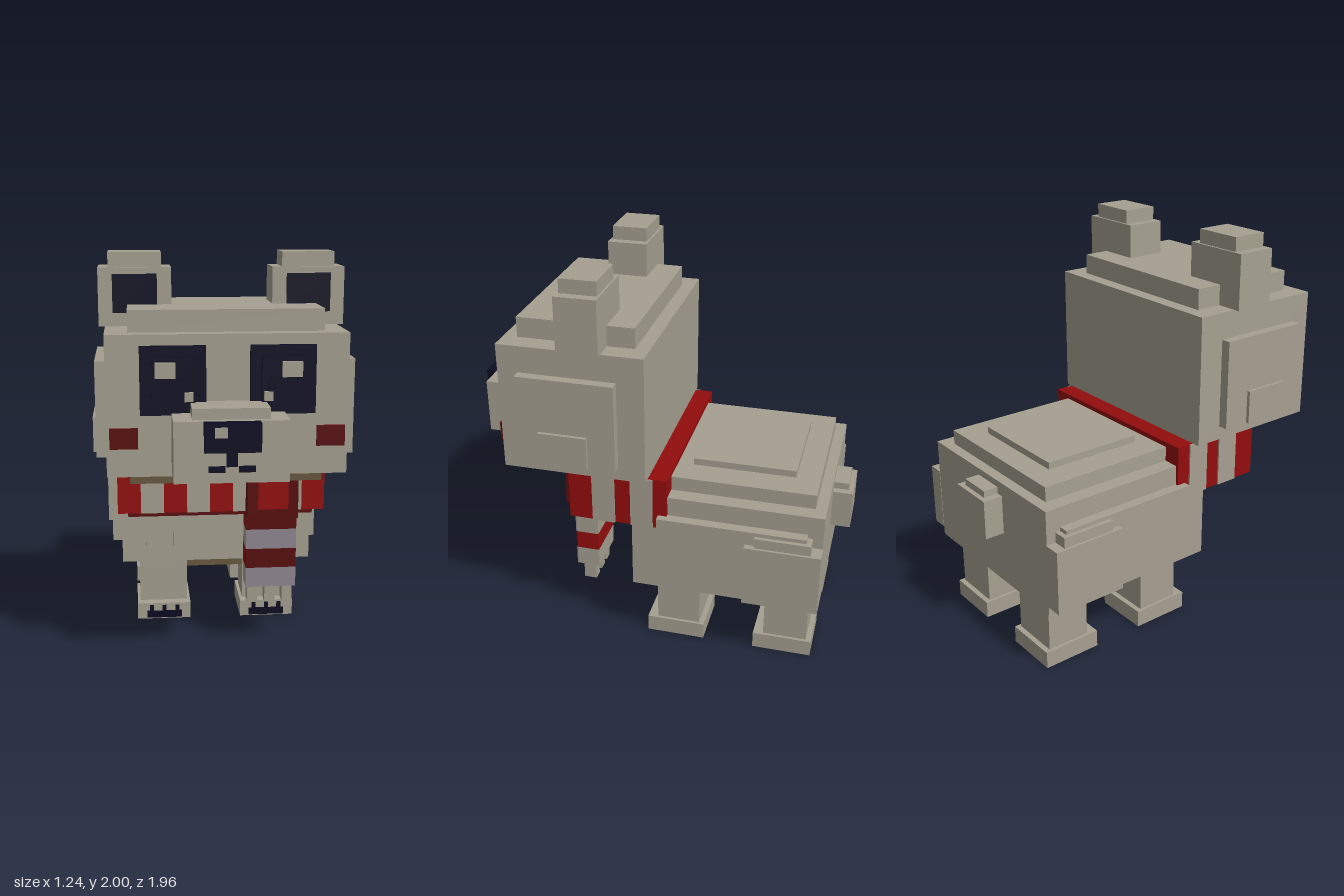
import * as THREE from 'three';

const mat = (name, color) => {
  const m = new THREE.MeshStandardMaterial({ color });
  m.name = name;
  return m;
};

export function createModel() {
  const root = new THREE.Group();
  root.name = 'bear';
  const fur = mat('fur', 0xa5a090);
  const navy = mat('navy', 0x0b0b22);
  const red = mat('red', 0x940d0d);
  const maroon = mat('maroon', 0x590d0d);
  const brown = mat('brown', 0x68583f);
  const lavender = mat('lavender', 0x918893);

  const group = (name) => {
    const g = new THREE.Group();
    g.name = name;
    root.add(g);
    return g;
  };
  // Box given by its extents on each axis
  const box = (parent, name, m, [x0, x1], [y0, y1], [z0, z1]) => {
    const mesh = new THREE.Mesh(new THREE.BoxGeometry(x1 - x0, y1 - y0, z1 - z0), m);
    mesh.position.set((x0 + x1) / 2, (y0 + y1) / 2, (z0 + z1) / 2);
    mesh.name = name;
    parent.add(mesh);
  };
  // Box centred on x = 0
  const mid = (parent, name, m, w, y, z) => box(parent, name, m, [-w, w], y, z);
  // Mirrored left and right boxes
  const pair = (parent, name, m, [x0, x1], y, z) => {
    box(parent, name + 'Left', m, [x0, x1], y, z);
    box(parent, name + 'Right', m, [-x1, -x0], y, z);
  };

  // Body with stepped back, chest and flanks
  const body = group('body');
  mid(body, 'torso', fur, 0.5, [0.355, 0.9], [-0.88, 0.08]);
  mid(body, 'backStep', fur, 0.42, [0.9, 0.975], [-0.825, -0.02]);
  mid(body, 'backTop', fur, 0.275, [0.975, 1.01], [-0.705, -0.185]);
  mid(body, 'chest', fur, 0.375, [0.39, 0.72], [0.08, 0.115]);
  mid(body, 'chestTuft', fur, 0.23, [0.455, 0.69], [0.115, 0.145]);
  mid(body, 'belly', brown, 0.37, [0.255, 0.355], [-0.7, -0.1]);
  pair(body, 'flank', fur, [0.5, 0.552], [0.43, 0.8], [-0.805, -0.06]);
  pair(body, 'haunch', fur, [0.5, 0.585], [0.4, 0.727], [-0.882, -0.507]);
  pair(body, 'haunchRidge', fur, [0.5, 0.572], [0.727, 0.78], [-0.83, -0.555]);

  const tail = group('tail');
  mid(tail, 'tailStub', fur, 0.125, [0.63, 0.83], [-0.98, -0.88]);
  mid(tail, 'tailTop', fur, 0.087, [0.83, 0.865], [-0.955, -0.88]);

  // Legs, feet and claws
  for (const [name, z] of [['front', 0], ['back', -0.57]]) {
    const legs = group(name + 'Legs');
    pair(legs, 'leg', fur, [0.153, 0.41], [0.085, 0.355], [z - 0.255, z - 0.03]);
    pair(legs, 'foot', fur, [0.137, 0.425], [0, 0.088], [z - 0.282, z + 0.022]);
    pair(legs, 'toeBar', navy, [0.185, 0.375], [0.008, 0.045], [z + 0.022, z + 0.031]);
    for (const x of [0.21, 0.28, 0.349]) {
      pair(legs, 'claw', navy, [x - 0.011, x + 0.011], [0.045, 0.077], [z + 0.022, z + 0.031]);
    }
  }

  // Head
  const head = group('head');
  mid(head, 'skull', fur, 0.555, [1, 1.655], [-0.01, 0.715]);
  mid(head, 'crown', fur, 0.45, [1.655, 1.757], [0.06, 0.645]);
  mid(head, 'chin', brown, 0.45, [0.947, 1], [0.06, 0.645]);
  pair(head, 'sideFur', fur, [0.555, 0.604], [1.07, 1.52], [0.125, 0.612]);
  pair(head, 'sideTuft', fur, [0.604, 0.621], [1.07, 1.24], [0.262, 0.508]);
  pair(head, 'ear', fur, [0.24, 0.585], [1.655, 1.93], [0.197, 0.403]);
  pair(head, 'earTip', fur, [0.287, 0.537], [1.93, 2], [0.208, 0.39]);
  pair(head, 'innerEar', navy, [0.308, 0.518], [1.718, 1.9], [0.403, 0.412]);
  pair(head, 'cheek', maroon, [0.41, 0.54], [1.135, 1.23], [0.715, 0.732]);

  // Eye patches and glints
  pair(head, 'eyePatch', navy, [0.1, 0.4], [1.29, 1.605], [0.715, 0.736]);
  pair(head, 'eye', navy, [0.15, 0.35], [1.32, 1.56], [0.736, 0.756]);
  pair(head, 'pupil', navy, [0.18, 0.32], [1.33, 1.46], [0.756, 0.766]);
  pair(head, 'glint', fur, [0.24, 0.332], [1.465, 1.535], [0.75, 0.777]);
  pair(head, 'smallGlint', fur, [0.16, 0.2], [1.358, 1.4], [0.736, 0.775]);

  // Muzzle, nose and mouth
  mid(head, 'muzzle', fur, 0.258, [1.02, 1.3], [0.715, 0.92]);
  mid(head, 'muzzleTop', fur, 0.173, [1.3, 1.35], [0.715, 0.888]);
  mid(head, 'nose', navy, 0.125, [1.17, 1.3], [0.92, 0.975]);
  box(head, 'noseGlint', fur, [-0.08, -0.026], [1.238, 1.284], [0.975, 0.984]);
  mid(head, 'mouthLine', navy, 0.025, [1.095, 1.17], [0.92, 0.929]);
  pair(head, 'mouth', navy, [0.03, 0.105], [1.07, 1.098], [0.92, 0.929]);

  // Scarf with striped front and sides
  const scarf = group('scarf');
  mid(scarf, 'wrap', red, 0.515, [0.725, 1], [-0.105, 0.4]);
  mid(scarf, 'wrapUnderside', maroon, 0.465, [0.69, 0.725], [0.045, 0.345]);
  for (let i = 1; i < 9; i += 2) {
    const x = -0.515 + i * 0.1144;
    box(scarf, 'frontStripe', fur, [x, x + 0.1144], [0.725, 1], [0.4, 0.405]);
  }
  for (const z of [[0.161, 0.278], [-0.034, 0.08]]) {
    pair(scarf, 'sideStripe', fur, [0.515, 0.523], [0.725, 1], z);
  }

  // Knot and hanging end
  const x = [0.12, 0.373];
  box(scarf, 'knot', maroon, x, [0.705, 0.945], [0.4, 0.473]);
  box(scarf, 'knotCentre', red, [0.173, 0.322], [0.755, 0.905], [0.473, 0.482]);
  [0.33, 0.432, 0.532, 0.634].forEach((y, i) => {
    const span = [y, [0.432, 0.532, 0.634, 0.724][i]];
    box(scarf, 'endStripe', i % 2 ? red : fur, x, span, [0.305, 0.422]);
    box(scarf, 'endStripeFace', i % 2 ? maroon : lavender, x, span, [0.422, 0.428]);
  });
  for (const fx of [0.158, 0.246, 0.335]) {
    box(scarf, 'fringe', fur, [fx - 0.026, fx + 0.026], [0.237, 0.33], [0.328, 0.395]);
  }
  return root;
}
